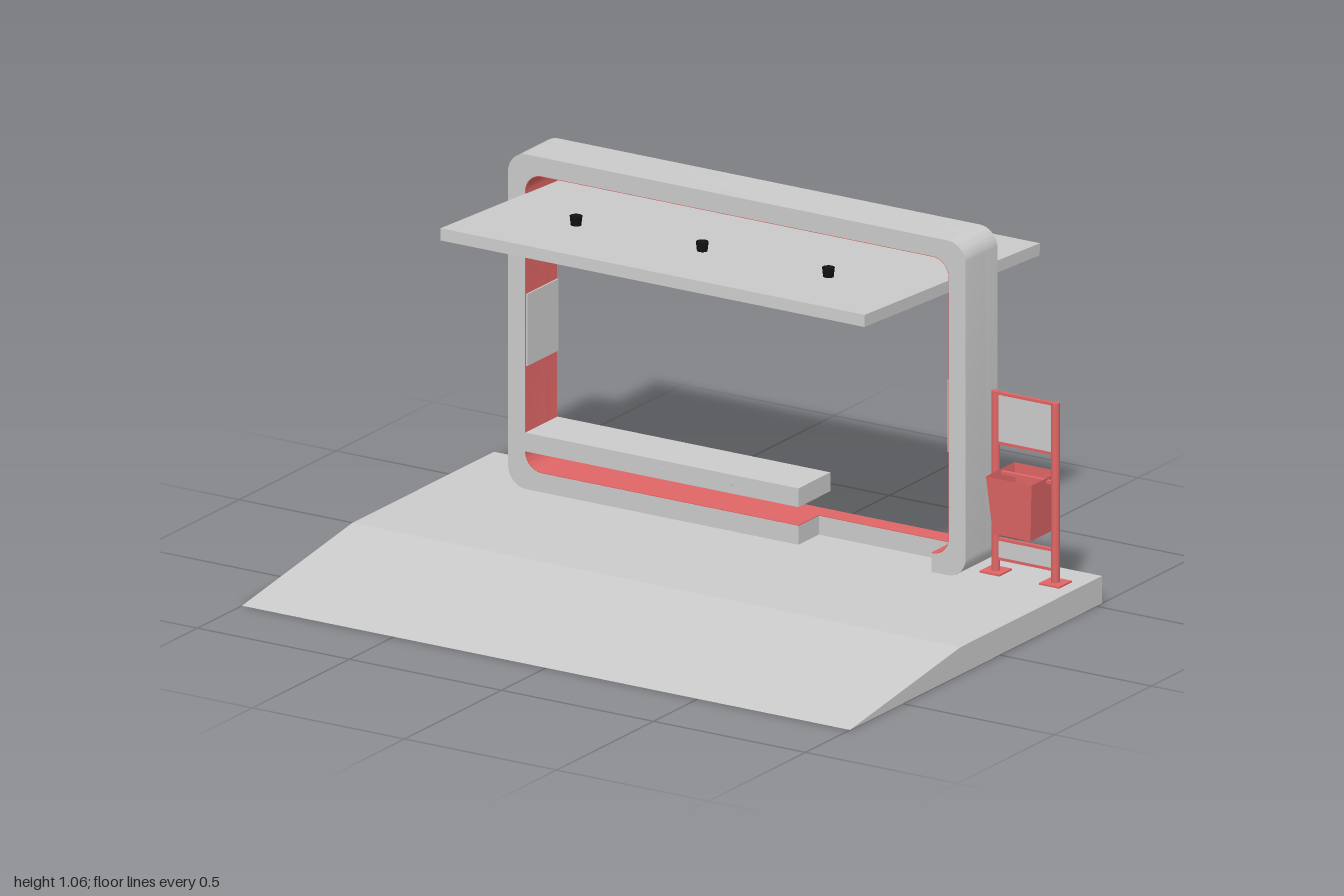
import * as THREE from 'three';
import { toCreasedNormals } from 'three/addons/utils/BufferGeometryUtils.js';

const grey = new THREE.MeshStandardMaterial({ color: 0xcccccc });
const red = new THREE.MeshStandardMaterial({ color: 0xe06666, side: THREE.DoubleSide });
const black = new THREE.MeshStandardMaterial({ color: 0x111111 });
const yellow = new THREE.MeshStandardMaterial({ color: 0xe6d890 });

// frame outline and depth
const X0 = -0.81, X1 = 0.695, Y0 = 0.08, Y1 = 1.06;
const BACK = -0.47, FRONT = -0.305, STEP = -0.41, WALL = 0.055;
const NOTCH = [0.145, 0.582];

function add(parent, name, geometry, material, x = 0, y = 0, z = 0) {
  const mesh = new THREE.Mesh(geometry, material);
  mesh.name = name;
  mesh.position.set(x, y, z);
  parent.add(mesh);
  return mesh;
}

// box given by its limits on each axis
function block(parent, name, material, [x0, x1], [y0, y1], [z0, z1]) {
  return add(parent, name, new THREE.BoxGeometry(x1 - x0, y1 - y0, z1 - z0), material,
    (x0 + x1) / 2, (y0 + y1) / 2, (z0 + z1) / 2);
}

// rounded rectangle, counter-clockwise from the bottom right corner
function outline(inset) {
  const r = inset === 0 ? 0.06 : 0.055 - (inset - WALL);
  const l = X0 + inset + r, rt = X1 - inset - r, b = Y0 + inset + r, t = Y1 - inset - r;
  const points = [];
  [[rt, b], [rt, t], [l, t], [l, b]].forEach(([cx, cy], k) => {
    for (let i = 0; i <= 12; i++) {
      const a = (k - 1 + i / 12) * Math.PI / 2;
      points.push(new THREE.Vector2(cx + r * Math.cos(a), cy + r * Math.sin(a)));
    }
  });
  return points;
}

// closed band between two insets, or a band open along the floor notch
function band(a, b, z0, z1, open) {
  let shape;
  if (open) {
    const v = (x, inset) => new THREE.Vector2(x, Y0 + inset);
    shape = new THREE.Shape([v(NOTCH[1], a), ...outline(a), v(NOTCH[0], a),
      v(NOTCH[0], b), ...outline(b).reverse(), v(NOTCH[1], b)]);
  } else {
    shape = new THREE.Shape(outline(a));
    shape.holes.push(new THREE.Path(outline(b)));
  }
  const g = new THREE.ExtrudeGeometry(shape, { depth: z1 - z0, bevelEnabled: false });
  g.translate(0, 0, z0);
  return toCreasedNormals(g, 0.5);
}

// open tapered container with four walls and a floor
function binGeometry() {
  const ring = (x0, x1, y, z0, z1) => [[x0, y, z1], [x1, y, z1], [x1, y, z0], [x0, y, z0]];
  const lo = ring(0.763, 0.887, 0.215, -0.47, -0.338);
  const hi = ring(0.75, 0.9, 0.385, -0.47, -0.323);
  const pos = [];
  const quad = (a, b, c, d) => pos.push(...a, ...b, ...c, ...a, ...c, ...d);
  for (let i = 0; i < 4; i++) {
    const j = (i + 1) % 4;
    quad(lo[i], lo[j], hi[j], hi[i]);
  }
  quad(lo[3], lo[2], lo[1], lo[0]);
  const g = new THREE.BufferGeometry();
  g.setAttribute('position', new THREE.Float32BufferAttribute(pos, 3));
  g.computeVertexNormals();
  return g;
}

export function createModel() {
  const model = new THREE.Group();
  model.name = 'busShelter';

  // platform with a ramp at the front
  const side = new THREE.Shape([[-0.77, 0], [0.53, 0], [0.53, 0.08], [-0.2, 0.08]]
    .map(([z, y]) => new THREE.Vector2(z, y)));
  const base = new THREE.ExtrudeGeometry(side, { depth: 2, bevelEnabled: false });
  base.translate(0, 0, -1).rotateY(Math.PI / 2);
  add(model, 'platform', base, grey);

  // portal frame, its floor rail cut back in front, with a red lining
  const frame = new THREE.Group();
  frame.name = 'frame';
  model.add(frame);
  add(frame, 'frameBack', band(0, WALL, BACK, STEP, false), grey);
  add(frame, 'frameFront', band(0, WALL, STEP, FRONT, true), grey);
  add(frame, 'liningBack', band(WALL, WALL + 0.002, BACK + 0.001, STEP, false), red);
  add(frame, 'liningFront', band(WALL, WALL + 0.002, STEP, FRONT - 0.001, true), red);

  // wall panels and switch on the inner sides
  const depth = [BACK + 0.002, FRONT - 0.002];
  block(frame, 'leftWallPanel', grey, [0.633, 0.64], [0.44, 0.65], depth);
  block(frame, 'rightWallPanel', grey, [-0.755, -0.748], [0.44, 0.65], depth);
  block(frame, 'wallSwitch', black, [0.634, 0.64], [0.345, 0.395], [-0.41, -0.37]);

  // bench
  block(model, 'bench', grey, [-0.757, 0.145], [0.19, 0.245], [BACK, FRONT]);
  for (const x of [-0.53, -0.305, -0.08]) {
    const stud = add(model, 'benchStud', new THREE.CylinderGeometry(0.007, 0.007, 0.004, 12), grey, x, 0.218, FRONT);
    stud.rotation.x = Math.PI / 2;
  }

  // tilted roof slab
  const roof = block(model, 'roof', grey, [-0.755, 0.64], [0.908, 0.943], [-0.774, 0.131]);
  roof.rotation.x = -0.053;

  // lamps through the roof
  for (const x of [-0.475, -0.06, 0.355]) {
    const lamp = new THREE.Group();
    lamp.name = 'lamp';
    lamp.position.set(x, 0, -0.13);
    model.add(lamp);
    add(lamp, 'lampCap', new THREE.CylinderGeometry(0.018, 0.014, 0.035, 16), black, 0, 0.963, 0);
    const shade = new THREE.SphereGeometry(0.036, 20, 8, 0, Math.PI * 2, 0, Math.PI / 2);
    shade.scale(1, 0.7, 0.55);
    add(lamp, 'lampShade', shade, grey, 0, 0.896, 0);
    const plate = new THREE.CylinderGeometry(0.036, 0.036, 0.003, 20);
    plate.scale(1, 1, 0.55);
    add(lamp, 'lampPlate', plate, grey, 0, 0.896, 0);
    add(lamp, 'lampBulb', new THREE.SphereGeometry(0.01, 12, 8), yellow, 0.012, 0.893, 0);
  }

  // litter bin hung between two posts
  const stand = new THREE.Group();
  stand.name = 'binStand';
  model.add(stand);
  const Z = -0.405;
  for (const x of [0.73, 0.926]) {
    add(stand, 'post', new THREE.CylinderGeometry(0.0125, 0.0125, 0.53, 16), red, x, 0.345, Z);
    block(stand, 'footPlate', red, [x - 0.033, x + 0.033], [0.08, 0.085], [Z - 0.033, Z + 0.033]);
  }
  const span = [0.73, 0.926], thin = [Z - 0.004, Z + 0.004], rail = [Z - 0.006, Z + 0.006];
  block(stand, 'signPanel', grey, span, [0.46, 0.607], thin);
  block(stand, 'lowerPanel', grey, span, [0.122, 0.178], thin);
  for (const y of [0.605, 0.46, 0.178, 0.121]) {
    block(stand, 'panelRail', red, span, [y - 0.004, y + 0.004], rail);
  }
  block(stand, 'binAxle', red, span, [0.37, 0.379], rail);
  add(stand, 'bin', binGeometry(), red);

  return model;
}
